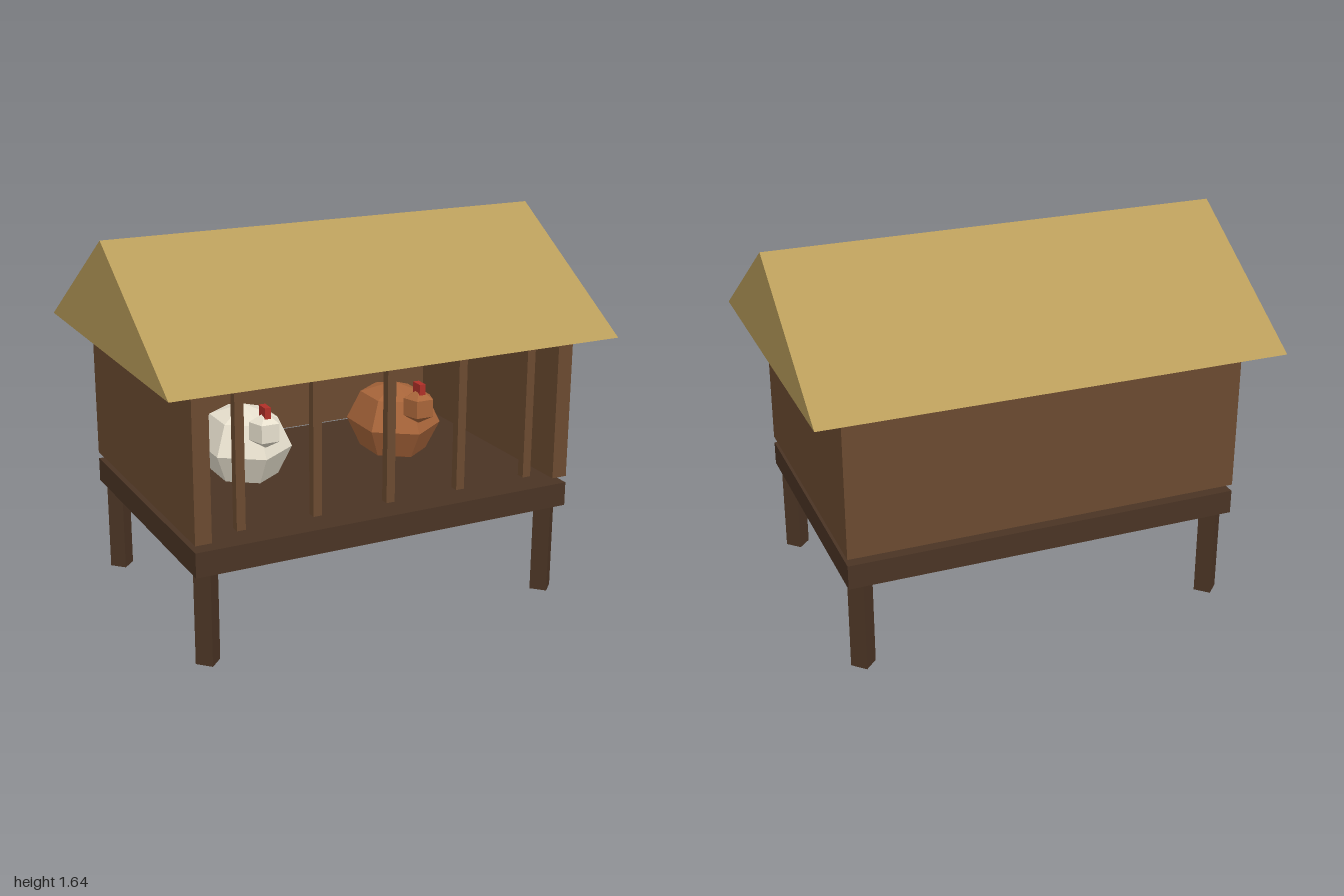
import * as THREE from 'three';

const mat = (color) => new THREE.MeshStandardMaterial({ color, flatShading: true });

export function createModel() {
  const model = new THREE.Group();
  model.name = 'henHouse';

  const darkWood = mat(0x4a3424);
  const wood = mat(0x6b4a30);
  const thatch = mat(0xb89c5a);
  const red = mat(0xb03028);

  const add = (parent, name, geometry, material, x = 0, y = 0, z = 0) => {
    const mesh = new THREE.Mesh(geometry, material);
    mesh.name = name;
    mesh.position.set(x, y, z);
    parent.add(mesh);
    return mesh;
  };

  // Raised floor on four square posts turned by 45 degrees
  add(model, 'floor', new THREE.BoxGeometry(1.73, 0.106, 1.2), darkWood, 0, 0.457, 0);
  const legGeometry = new THREE.CylinderGeometry(0.053, 0.053, 0.404, 4);
  for (const x of [-0.8, 0.8]) {
    for (const z of [-0.535, 0.535]) add(model, 'leg', legGeometry, darkWood, x, 0.202, z);
  }

  // Back and side walls, floating just above the floor; the front is open
  const wallHeight = 0.64, wallY = 0.86, thick = 0.07;
  add(model, 'backWall', new THREE.BoxGeometry(1.73 - 2 * thick, wallHeight, thick), wood, 0, wallY, -0.565);
  for (const side of [-1, 1]) {
    add(model, 'sideWall', new THREE.BoxGeometry(thick, wallHeight, 1.2), wood, side * 0.83, wallY, 0);
  }

  // Front bars
  const barGeometry = new THREE.BoxGeometry(0.038, 0.615, 0.038);
  for (let i = -2; i <= 2; i++) add(model, 'bar', barGeometry, wood, i * 0.333, 0.8725, 0.57);

  // Solid gable roof, ridge along x
  const gable = new THREE.Shape([
    new THREE.Vector2(-0.73, 0), new THREE.Vector2(0.73, 0), new THREE.Vector2(0, 0.46),
  ]);
  const roofGeometry = new THREE.ExtrudeGeometry(gable, { depth: 2, bevelEnabled: false });
  roofGeometry.translate(0, 0, -1).rotateY(Math.PI / 2);
  add(model, 'roof', roofGeometry, thatch, 0, 1.18, 0);

  // Hens, built facing +x and then turned to the front
  const addHen = (name, color, x) => {
    const hen = new THREE.Group();
    hen.name = name;
    const feathers = mat(color);
    const body = add(hen, 'body', new THREE.SphereGeometry(0.2, 6, 4), feathers);
    body.scale.set(1.2, 0.9, 1);
    add(hen, 'head', new THREE.SphereGeometry(0.078, 5, 3), feathers, 0.23, 0.13, 0);
    add(hen, 'comb', new THREE.BoxGeometry(0.06, 0.06, 0.028), red, 0.23, 0.205, 0);
    hen.position.set(x, 0.7, 0);
    hen.rotation.y = -Math.PI / 2;
    model.add(hen);
  };
  addHen('whiteHen', 0xe6dfcd, -0.4);
  addHen('brownHen', 0xa8653a, 0.333);

  return model;
}
